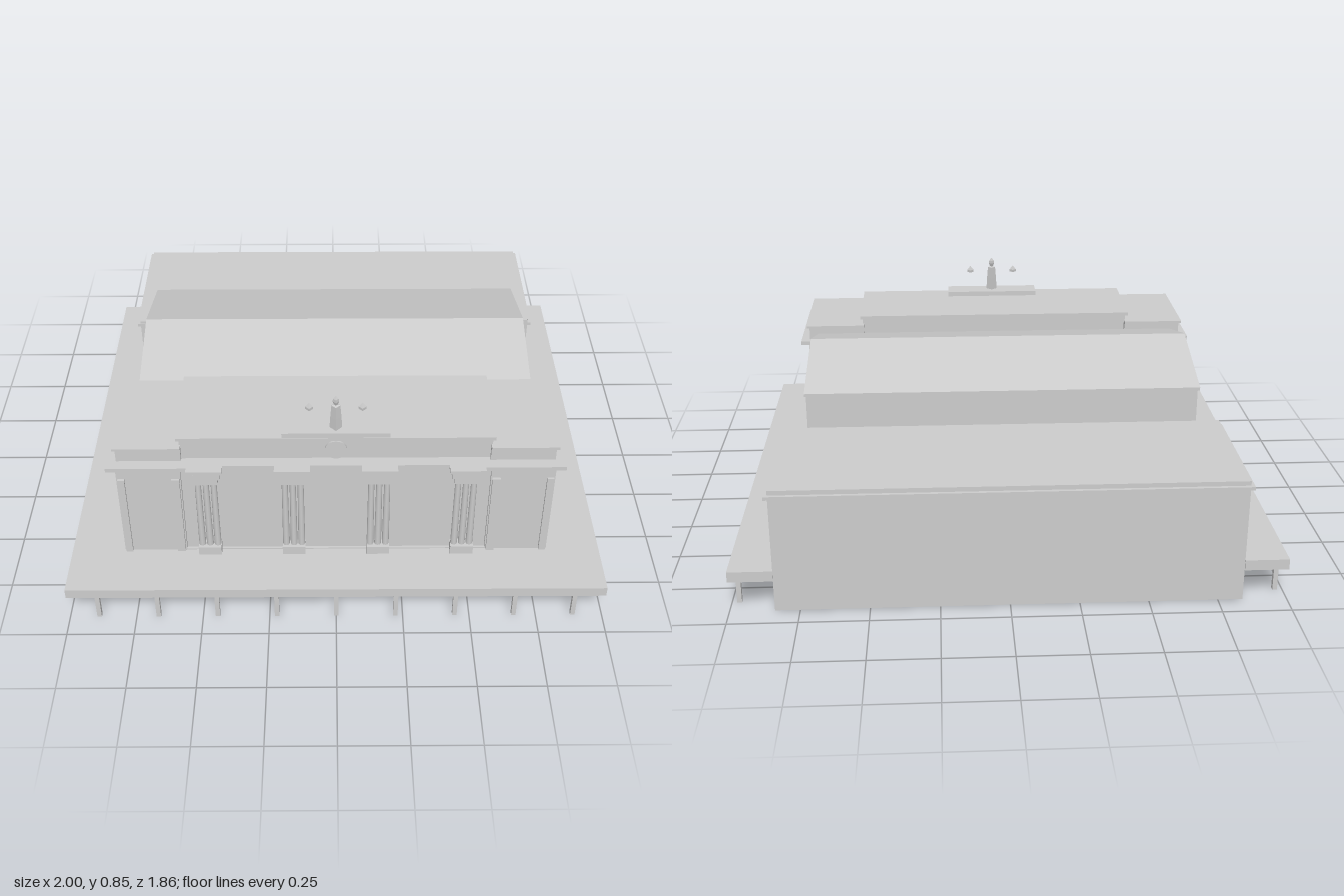
import * as THREE from 'three';

export function createModel() {
  const model = new THREE.Group();
  model.name = 'civicHall';
  const stone = new THREE.MeshStandardMaterial({ color: 0xcccccc, side: THREE.DoubleSide });
  stone.name = 'paleStone';

  function add(name, geometry, x = 0, y = 0, z = 0, parent = model) {
    const mesh = new THREE.Mesh(geometry, stone);
    mesh.name = name;
    mesh.position.set(x, y, z);
    parent.add(mesh);
    return mesh;
  }
  // Box given by its limits; faces listed in skip are left open
  const FACES = ['px', 'nx', 'py', 'ny', 'pz', 'nz'];
  function box(name, x0, x1, y0, y1, z0, z1, skip = [], parent = model) {
    const g = new THREE.BoxGeometry(x1 - x0, y1 - y0, z1 - z0);
    if (skip.length) {
      const index = Array.from(g.index.array);
      g.setIndex(index.filter((_, i) => !skip.includes(FACES[Math.floor(i / 6)])));
      g.clearGroups();
    }
    return add(name, g, (x0 + x1) / 2, (y0 + y1) / 2, (z0 + z1) / 2, parent);
  }
  const slab = (name, w, y0, y1, z0, z1, skip) => box(name, -w, w, y0, y1, z0, z1, skip);

  // Deck wrapped around the building, open at the back
  const outline = [
    [-1, -0.92], [-1, 0.93], [1, 0.93], [1, -0.92], [0.84, -0.92], [0.84, 0.32],
    [0.8, 0.32], [0.8, 0.72], [-0.8, 0.72], [-0.8, 0.32], [-0.84, 0.32], [-0.84, -0.92],
  ];
  const deckShape = new THREE.Shape(outline.map(([x, z]) => new THREE.Vector2(x, -z)));
  const deck = new THREE.ExtrudeGeometry(deckShape, { depth: 0.04, bevelEnabled: false });
  deck.rotateX(-Math.PI / 2);
  add('deck', deck, 0, 0.12, 0);

  // Piles under the deck
  const pileSpots = [];
  for (let i = -4; i <= 4; i++) pileSpots.push([i * 0.2225, 0.905]);
  for (let i = 0; i < 8; i++) {
    for (const s of [-1, 1]) pileSpots.push([s * 0.973, 0.7125 - i * 0.2225]);
  }
  const piles = new THREE.Group();
  piles.name = 'piles';
  model.add(piles);
  const pileGeo = new THREE.BoxGeometry(0.017, 0.12, 0.017);
  for (const [x, z] of pileSpots) add('pile', pileGeo, x, 0.06, z, piles);

  // Rear wing, hollow below, with cornice
  slab('rearWing', 0.84, 0, 0.47, -0.915, -0.36, ['ny', 'pz']);
  for (const s of [-1, 1]) {
    box('rearWingReturn', Math.min(s * 0.74, s * 0.84), Math.max(s * 0.74, s * 0.84), 0.24, 0.465, -0.365, -0.36);
    // Low side terraces
    box('terraceTop', Math.min(s * 0.74, s * 0.84), Math.max(s * 0.74, s * 0.84), 0.235, 0.245, -0.36, 0.32);
  }
  slab('rearCornice', 0.853, 0.44, 0.453, -0.928, -0.358);

  // Middle hall with gable roof
  slab('hallBase', 0.84, 0, 0.24, -0.36, 0.32, ['py', 'ny', 'nz']);
  slab('hallWalls', 0.75, 0.24, 0.605, -0.362, 0.32, ['ny']);
  const gable = new THREE.Shape([
    [-0.33, 0.603], [0.38, 0.603], [0.38, 0.615], [0.02, 0.712], [-0.33, 0.617],
  ].map(([x, y]) => new THREE.Vector2(x, y)));
  const roof = new THREE.ExtrudeGeometry(gable, { depth: 1.51, bevelEnabled: false });
  roof.rotateY(Math.PI / 2);
  add('gableRoof', roof, -0.755, 0, 0);

  // Front pavilion: slightly recessed centre between two wings
  slab('frontBase', 0.8, 0, 0.165, 0.322, 0.72, ['ny', 'py']);
  slab('frontCentre', 0.57, 0.16, 0.58, 0.322, 0.708, ['ny']);
  slab('centrePlinth', 0.57, 0.155, 0.162, 0.69, 0.72);
  for (const s of [-1, 1]) {
    const side = (name, a, b, ...rest) => box(name, Math.min(s * a, s * b), Math.max(s * a, s * b), ...rest);
    side('frontWing', 0.565, 0.8, 0.16, 0.58, 0.322, 0.72, ['ny']);
    side('wingPilaster', 0.57, 0.6, 0.16, 0.52, 0.71, 0.73);
    side('wingPilaster', 0.77, 0.795, 0.16, 0.52, 0.71, 0.73);
    side('wingCornice', 0.535, 0.83, 0.577, 0.593, 0.295, 0.747);
    side('wingAttic', 0.56, 0.795, 0.59, 0.646, 0.32, 0.705);
    side('wingAtticCap', 0.56, 0.805, 0.646, 0.656, 0.31, 0.713);
  }
  slab('centreCornice', 0.54, 0.577, 0.593, 0.3, 0.733);
  slab('centreAttic', 0.565, 0.59, 0.678, 0.34, 0.69);
  slab('centreAtticCap', 0.575, 0.678, 0.691, 0.33, 0.697);

  // Round dial on the attic face
  const dial = new THREE.CylinderGeometry(0.04, 0.04, 0.008, 32);
  dial.rotateX(Math.PI / 2);
  add('dial', dial, 0, 0.635, 0.693);

  // Clustered columns on pedestals
  const shaft = new THREE.CylinderGeometry(0.011, 0.013, 0.32, 8);
  for (const x of [-0.475, -0.158, 0.158, 0.475]) {
    const column = new THREE.Group();
    column.name = 'clusteredColumn';
    model.add(column);
    const part = (name, w, y0, y1, z1) => box(name, x - w, x + w, y0, y1, 0.7, z1, [], column);
    part('pedestal', 0.043, 0.16, 0.197, 0.748);
    part('capital', 0.045, 0.51, 0.54, 0.744);
    part('capitalBlock', 0.055, 0.54, 0.577, 0.752);
    part('corniceBlock', 0.065, 0.577, 0.593, 0.767);
    for (const d of [-0.029, 0, 0.029]) add('shaft', shaft, x + d, 0.355, 0.725, column);
  }

  // Roof tablet with centre spire and two small finials
  slab('spireTablet', 0.195, 0.69, 0.711, 0.605, 0.695);
  const turned = (points) => new THREE.LatheGeometry(
    points.map(([r, y]) => new THREE.Vector2(r, y)), 4).toNonIndexed();
  const spire = turned([
    [0.023, 0], [0.02, 0.05], [0.016, 0.1], [0.007, 0.104], [0.012, 0.118], [0.01, 0.13], [0, 0.143],
  ]);
  spire.computeVertexNormals();
  add('spire', spire, 0, 0.71, 0.658);
  const finial = turned([[0, 0], [0.014, 0.002], [0.014, 0.012], [0, 0.03]]);
  finial.computeVertexNormals();
  for (const s of [-1, 1]) add('finial', finial, s * 0.095, 0.788, 0.652);

  return model;
}
